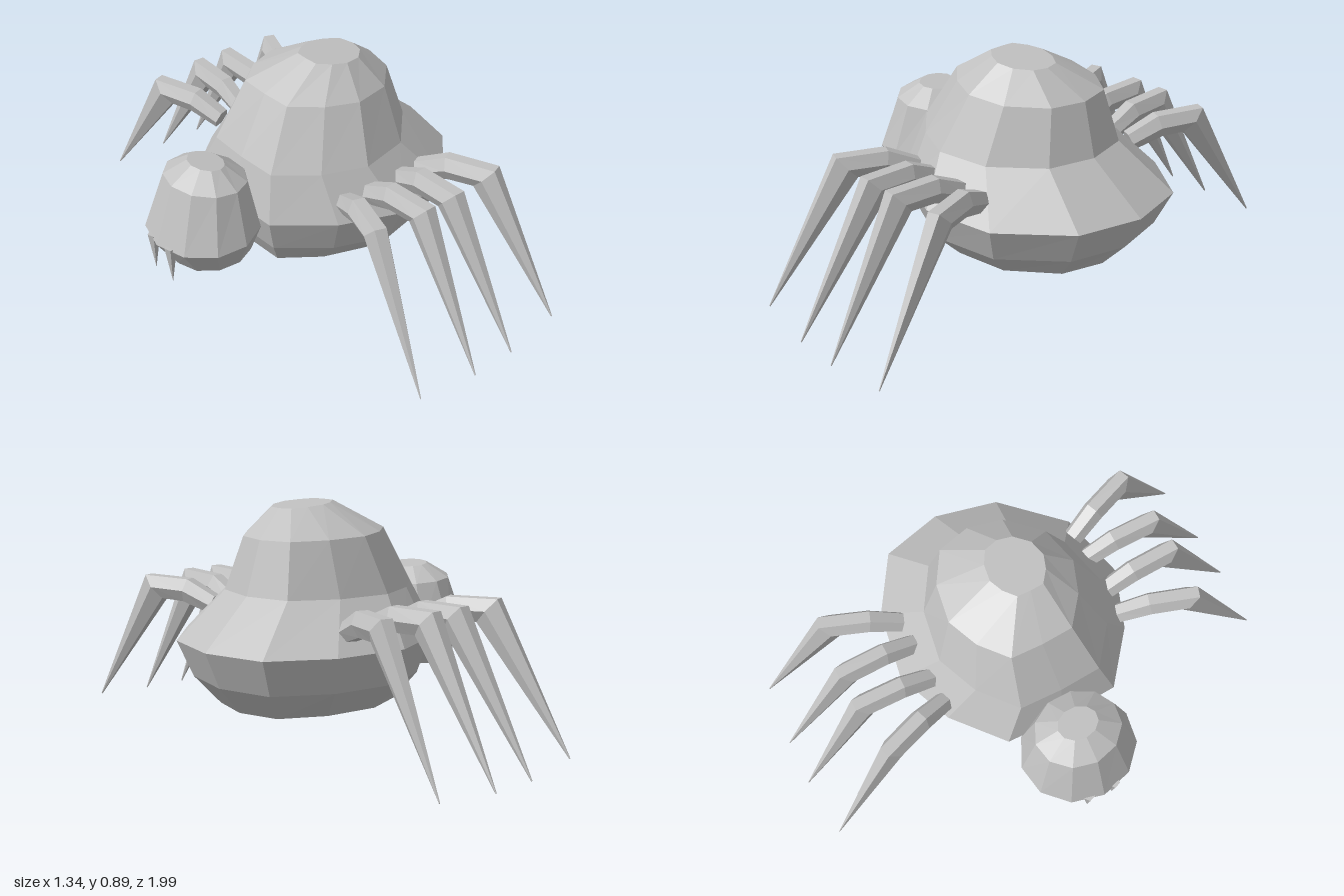
import * as THREE from 'three';

// Skin a list of equal-length point rings, flat shaded, with caps at both ends
function loft(rings) {
  const pos = [];
  const n = rings[0].length;
  const tri = (...pts) => pts.forEach((p) => pos.push(p.x, p.y, p.z));
  for (let j = 0; j < rings.length - 1; j++) {
    for (let i = 0; i < n; i++) {
      const k = (i + 1) % n;
      const a = rings[j][i], b = rings[j][k], c = rings[j + 1][k], d = rings[j + 1][i];
      tri(a, b, c);
      tri(a, c, d);
    }
  }
  const first = rings[0], last = rings[rings.length - 1];
  for (let i = 1; i < n - 1; i++) {
    tri(first[0], first[i + 1], first[i]);
    tri(last[0], last[i], last[i + 1]);
  }
  const g = new THREE.BufferGeometry();
  g.setAttribute('position', new THREE.Float32BufferAttribute(pos, 3));
  g.computeVertexNormals();
  return g;
}

// Horizontal rings: [y, xMin, xMax, zCentre, zRadius, tilt], tilt lowers the +x side
function shell(outline, levels) {
  return loft(levels.map(([y, x0, x1, cz, rz, tilt = 0]) =>
    outline.map(([u, v]) => new THREE.Vector3(
      (x0 + x1) / 2 + u * (x1 - x0) / 2, y - tilt * u, cz + v * rz))));
}

// Bent hexagonal leg from hip to pointed foot; side is +1 at the front, -1 at the back
function leg(baseX, kneeX, tipX, kneeZ, tipZ, tipY, side) {
  const baseZ = 0.385;
  const dir = new THREE.Vector3(kneeX - baseX, 0, (kneeZ - baseZ) * side).normalize();
  const across = new THREE.Vector3(dir.z, 0, -dir.x);
  const midX = baseX + (kneeX - baseX) * 0.45;
  const midZ = baseZ + (kneeZ - baseZ) * 0.45;
  // x, y, z, half width, section lean, section height
  const sections = [
    [baseX, 0.47, baseZ, 0.04, -0.016, 0.04],
    [midX, 0.52, midZ, 0.045, -0.012, 0.052],
    [kneeX, 0.525, kneeZ, 0.045, 0.045, 0.052],
    [tipX, tipY, tipZ, 0.002, 0.002, 0.002],
  ];
  return loft(sections.map(([x, y, z, w, lean, h]) =>
    Array.from({ length: 6 }, (_, i) => {
      const a = i * Math.PI / 3;
      return new THREE.Vector3(x, y, z * side)
        .addScaledVector(across, w * Math.cos(a))
        .addScaledVector(dir, lean * Math.sin(a))
        .add(new THREE.Vector3(0, h * Math.sin(a), 0));
    })));
}

export function createModel() {
  const group = new THREE.Group();
  const grey = new THREE.MeshStandardMaterial({ color: 0xc0c0c0 });
  grey.name = 'grey';
  const add = (name, geometry) => {
    const mesh = new THREE.Mesh(geometry, grey);
    mesh.name = name;
    group.add(mesh);
    return mesh;
  };

  // Abdomen: slightly irregular twelve-sided outline
  const bodyOutline = [
    [0.66, -0.05], [0.6, -0.29], [0.38, -0.43], [0.1, -0.48], [-0.13, -0.39], [-0.325, -0.23],
    [-0.335, 0], [-0.325, 0.23], [-0.13, 0.39], [0.1, 0.48], [0.38, 0.42], [0.6, 0.2],
  ].map(([x, z]) => [(x - 0.165) / 0.495, z / 0.48]);
  add('abdomen', shell(bodyOutline, [
    [0.145, -0.23, 0.5, 0, 0.32],
    [0.255, -0.29, 0.6, 0, 0.43],
    [0.395, -0.33, 0.665, 0, 0.485],
    [0.57, -0.28, 0.45, 0.015, 0.35],
    [0.78, -0.155, 0.39, 0, 0.26, 0.008],
    [0.885, 0.01, 0.25, 0.04, 0.11, 0.01],
  ]));

  // Head
  const circle = Array.from({ length: 11 }, (_, i) => {
    const a = i * Math.PI * 2 / 11;
    return [-Math.cos(a), Math.sin(a)];
  });
  add('head', shell(circle, [
    [0.21, -0.58, -0.27, 0, 0.15, -0.006],
    [0.348, -0.67, -0.25, 0, 0.235, -0.014],
    [0.55, -0.59, -0.29, 0, 0.17, 0.012],
    [0.607, -0.5, -0.37, 0, 0.08, 0.008],
  ]));

  // Fangs
  for (const s of [1, -1]) {
    const fang = add(s > 0 ? 'frontFang' : 'backFang', new THREE.ConeGeometry(0.024, 0.16, 5).toNonIndexed());
    fang.geometry.computeVertexNormals();
    fang.rotation.x = Math.PI;
    fang.position.set(-0.645, 0.265, 0.055 * s);
  }

  // Four legs on each side
  const legs = [
    [-0.085, -0.175, -0.24, 0.64, 0.97, 0.025],
    [0.025, 0.03, 0.01, 0.66, 0.995, 0.005],
    [0.18, 0.175, 0.2, 0.66, 0.995, 0.005],
    [0.285, 0.38, 0.45, 0.64, 0.97, 0.025],
  ];
  legs.forEach((l, i) => {
    add(`frontLeg${i + 1}`, leg(...l, 1));
    add(`backLeg${i + 1}`, leg(...l, -1));
  });
  return group;
}
